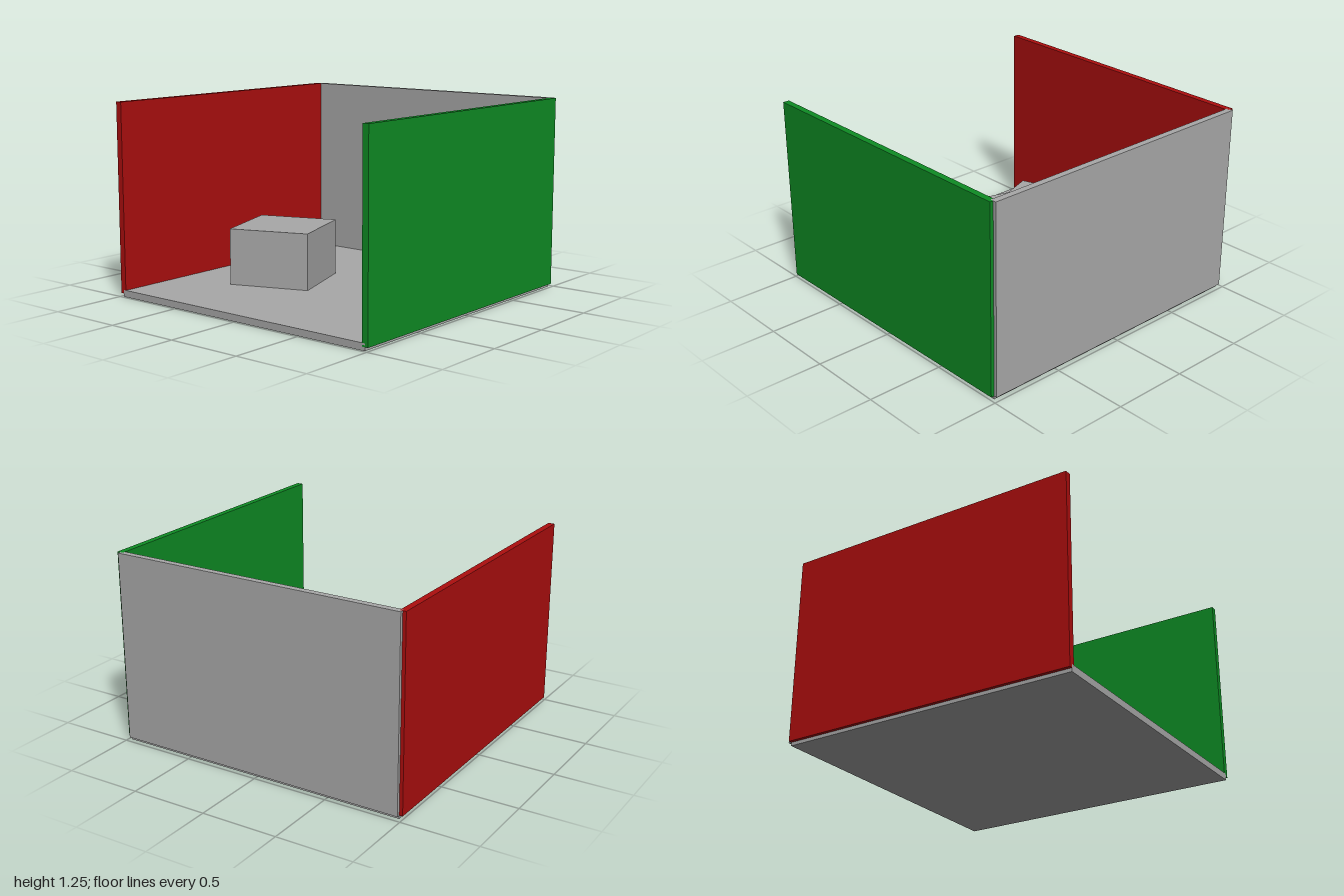
import * as THREE from 'three';

export function createModel() {
  const room = new THREE.Group();
  room.name = 'room';

  const paint = (name, color) => {
    const m = new THREE.MeshStandardMaterial({ color });
    m.name = name;
    return m;
  };
  const grey = paint('grey', 0xa8a8a8);
  const red = paint('red', 0xac0e0e);
  const green = paint('green', 0x0e8c24);

  // Box given by its width, depth, bottom and top, centred at (x, z) and turned about y
  const addBox = (name, material, [w, d], [bottom, top], [x, z], turn = 0) => {
    const mesh = new THREE.Mesh(new THREE.BoxGeometry(w, top - bottom, d), material);
    mesh.name = name;
    mesh.position.set(x, (bottom + top) / 2, z);
    mesh.rotation.y = turn;
    room.add(mesh);
  };

  // Shell: slabs that overlap by half their thickness at the edges
  const wall = [0.022, 1.247];
  addBox('floor', grey, [1.956, 1.956], [0, 0.044], [0, 0.01]);
  addBox('backWall', grey, [1.956, 0.042], wall, [0, -0.968]);
  addBox('rightWall', red, [0.042, 1.956], wall, [-0.979, 0.01]);
  addBox('leftWall', green, [0.042, 1.956], wall, [0.979, 0.01]);

  // Two blocks standing on the floor
  addBox('tallBlock', grey, [0.438, 0.438], [0.044, 0.802], [0.414, -0.408], -0.29);
  addBox('shortBlock', grey, [0.535, 0.535], [0.046, 0.413], [-0.393, 0.107], 0.349);

  return room;
}
